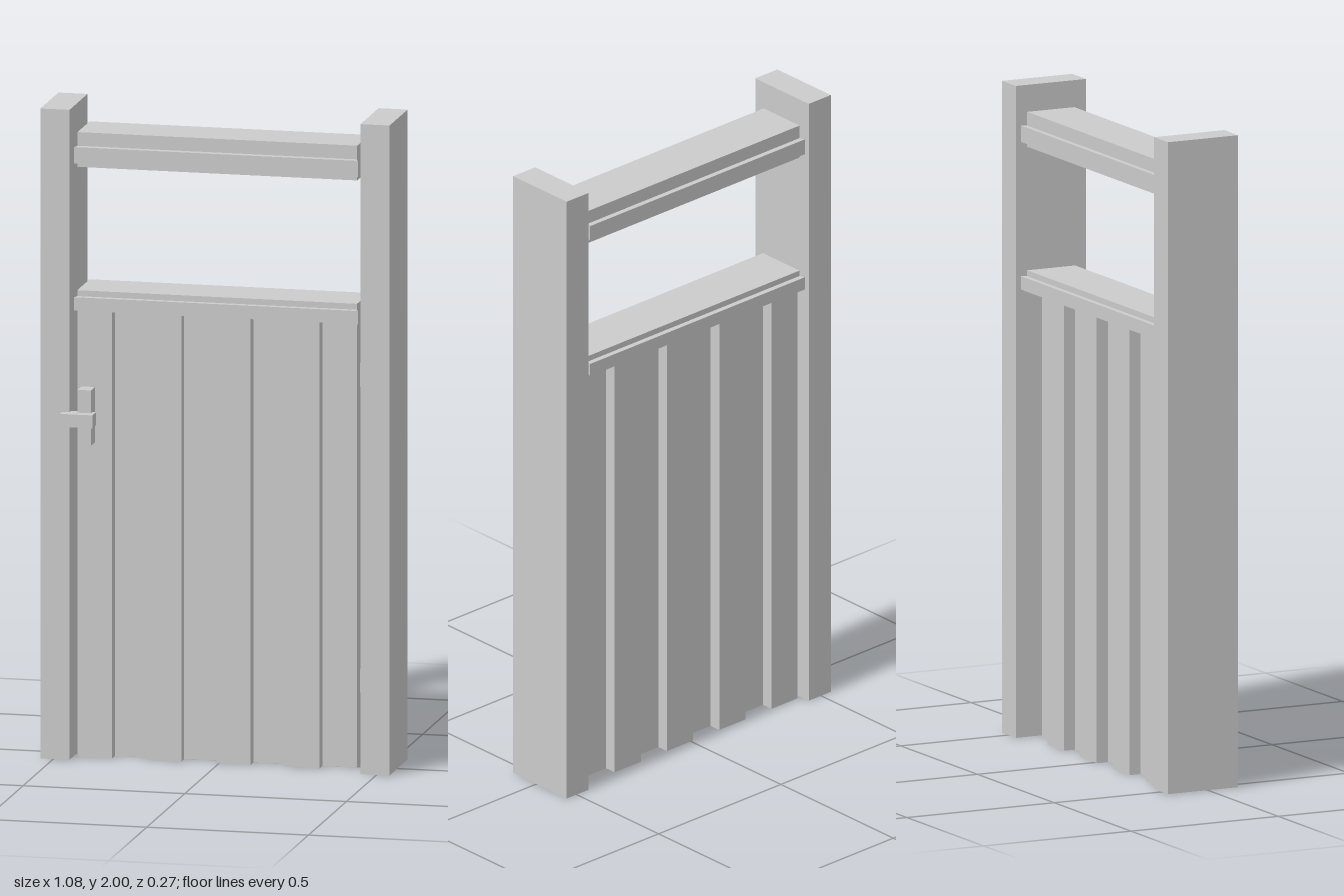
import * as THREE from 'three';

const material = new THREE.MeshStandardMaterial({ color: 0xcccccc, flatShading: true, side: THREE.DoubleSide });

// Box given by its limits on each axis; openBottom drops the underside
function box(name, [x0, x1], [y0, y1], [z0, z1], openBottom = false) {
  const geo = new THREE.BoxGeometry(x1 - x0, y1 - y0, z1 - z0);
  if (openBottom) {
    const index = Array.from(geo.index.array);
    index.splice(18, 6);
    geo.setIndex(index);
    geo.clearGroups();
  }
  geo.translate((x0 + x1) / 2, (y0 + y1) / 2, (z0 + z1) / 2);
  const mesh = new THREE.Mesh(geo, material);
  mesh.name = name;
  return mesh;
}

// Moulding around a rail: a plan outline whose ends flare out at front and back
function moulding(name, y0, y1) {
  const outline = [
    [-0.443, 0.074], [0.435, 0.074], [0.428, 0.058], [0.428, -0.108],
    [0.435, -0.125], [-0.443, -0.125], [-0.437, -0.108], [-0.437, 0.058],
  ];
  const shape = new THREE.Shape(outline.map(([x, z]) => new THREE.Vector2(x, -z)));
  const geo = new THREE.ExtrudeGeometry(shape, { depth: y1 - y0, bevelEnabled: false });
  geo.rotateX(-Math.PI / 2).translate(0, y0, 0);
  const mesh = new THREE.Mesh(geo, material);
  mesh.name = name;
  return mesh;
}

export function createModel() {
  const model = new THREE.Group();
  model.name = 'gate';

  // Posts
  model.add(box('rightPost', [-0.54, -0.45], [0, 2], [-0.135, 0.103], true));
  model.add(box('leftPost', [0.45, 0.54], [0, 2], [-0.135, 0.103], true));

  // Boards, alternately thick and thin
  const boards = new THREE.Group();
  boards.name = 'boards';
  const start = -0.437, width = 0.107;
  for (let i = 0; i < 8; i++) {
    const x = start + i * width;
    const z = i % 2 ? [-0.062, 0.014] : [-0.1, 0.052];
    boards.add(box(i % 2 ? 'thinBoard' : 'thickBoard', [x, x + width], [0, 1.38], z, true));
  }
  model.add(boards);

  // Rail capping the boards
  const middleRail = new THREE.Group();
  middleRail.name = 'middleRail';
  middleRail.add(moulding('middleRailMoulding', 1.377, 1.418));
  middleRail.add(box('middleRailBody', [-0.437, 0.428], [1.38, 1.436], [-0.108, 0.055]));
  model.add(middleRail);

  // Rail near the top of the posts
  const topRail = new THREE.Group();
  topRail.name = 'topRail';
  topRail.add(moulding('topRailMoulding', 1.83, 1.88));
  topRail.add(box('topRailBody', [-0.437, 0.428], [1.815, 1.922], [-0.108, 0.052]));
  model.add(topRail);

  // Latch
  const latch = new THREE.Group();
  latch.name = 'latch';
  latch.add(box('latchPlate', [-0.425, -0.383], [0.97, 1.14], [0.05, 0.104]));
  latch.add(box('latchBar', [-0.473, -0.372], [1.03, 1.07], [0.085, 0.134]));
  model.add(latch);

  // Hinge leaves between the gate and the left post
  for (const y of [0.26, 1.2, 1.848]) {
    const hinge = new THREE.Mesh(new THREE.PlaneGeometry(0.035, 0.074), material);
    hinge.position.set(0.4325, y, -0.024);
    hinge.name = 'hinge';
    model.add(hinge);
  }
  return model;
}
